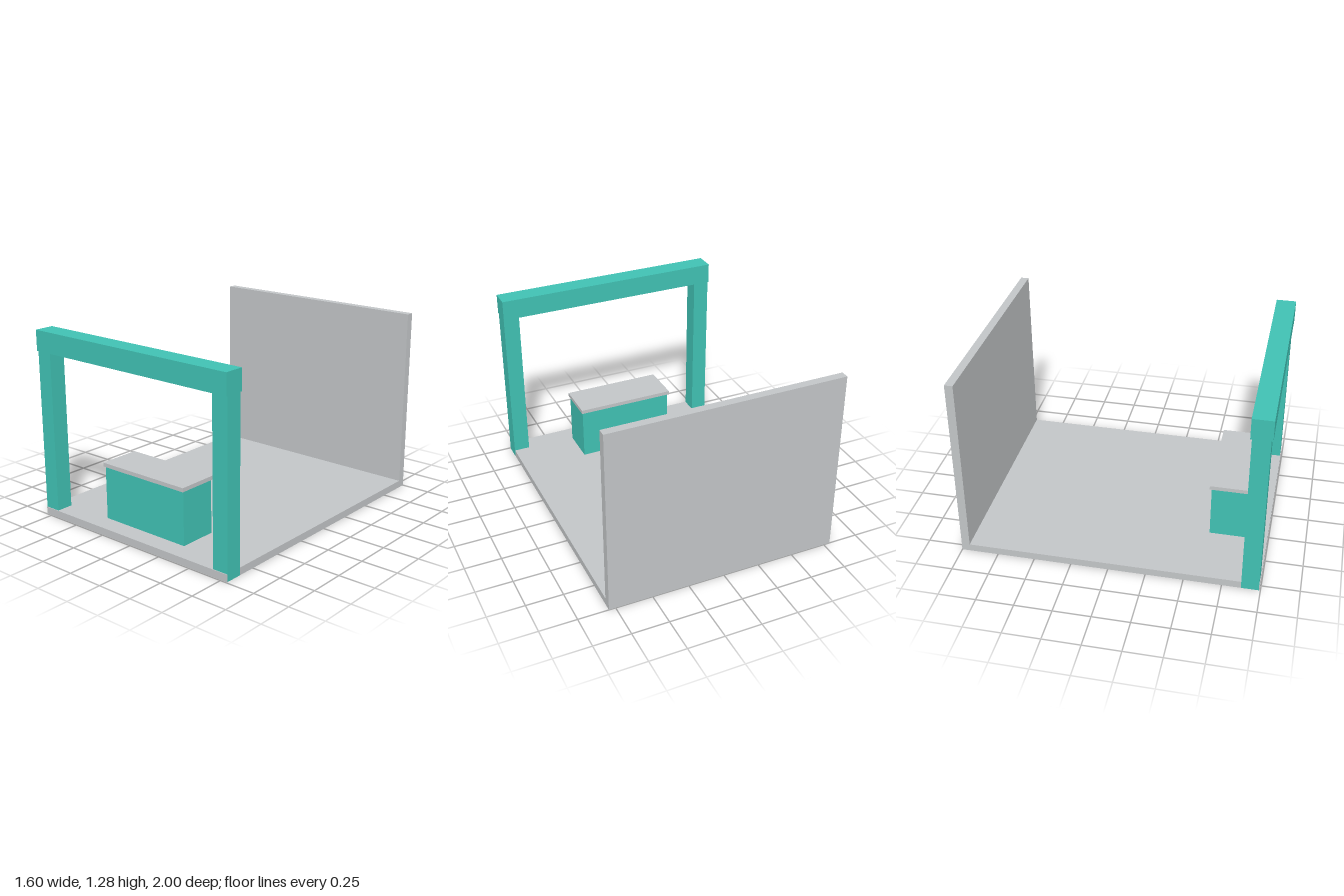
import * as THREE from 'three';

export function createModel() {
  const model = new THREE.Group();
  model.name = 'exhibitionStand';

  const grey = new THREE.MeshStandardMaterial({ color: 0xc2c5c7 });
  grey.name = 'light grey';
  const teal = new THREE.MeshStandardMaterial({ color: 0x40c1b3 });
  teal.name = 'teal';

  // Box given by its extents along each axis
  function addBox(name, material, [x0, x1], [y0, y1], [z0, z1]) {
    const mesh = new THREE.Mesh(new THREE.BoxGeometry(x1 - x0, y1 - y0, z1 - z0), material);
    mesh.position.set((x0 + x1) / 2, (y0 + y1) / 2, (z0 + z1) / 2);
    mesh.name = name;
    model.add(mesh);
  }

  // Floor slab and back wall
  addBox('floor', grey, [-0.795, 0.795], [0, 0.05], [-0.999, 0.995]);
  addBox('backWall', grey, [-0.795, 0.795], [0, 1.275], [-1, -0.945]);

  // Front gateway: two posts carrying a beam
  addBox('leftPost', teal, [0.685, 0.7965], [0.001, 1.15], [0.875, 0.99]);
  addBox('rightPost', teal, [-0.7965, -0.685], [0.001, 1.15], [0.875, 0.99]);
  addBox('beam', teal, [-0.798, 0.798], [1.14, 1.28], [0.865, 1]);

  // Reception counter with overhanging top
  addBox('counterBody', teal, [-0.34, 0.34], [0.001, 0.416], [0.605, 0.865]);
  addBox('counterTop', grey, [-0.348, 0.348], [0.415, 0.442], [0.592, 0.877]);

  return model;
}
